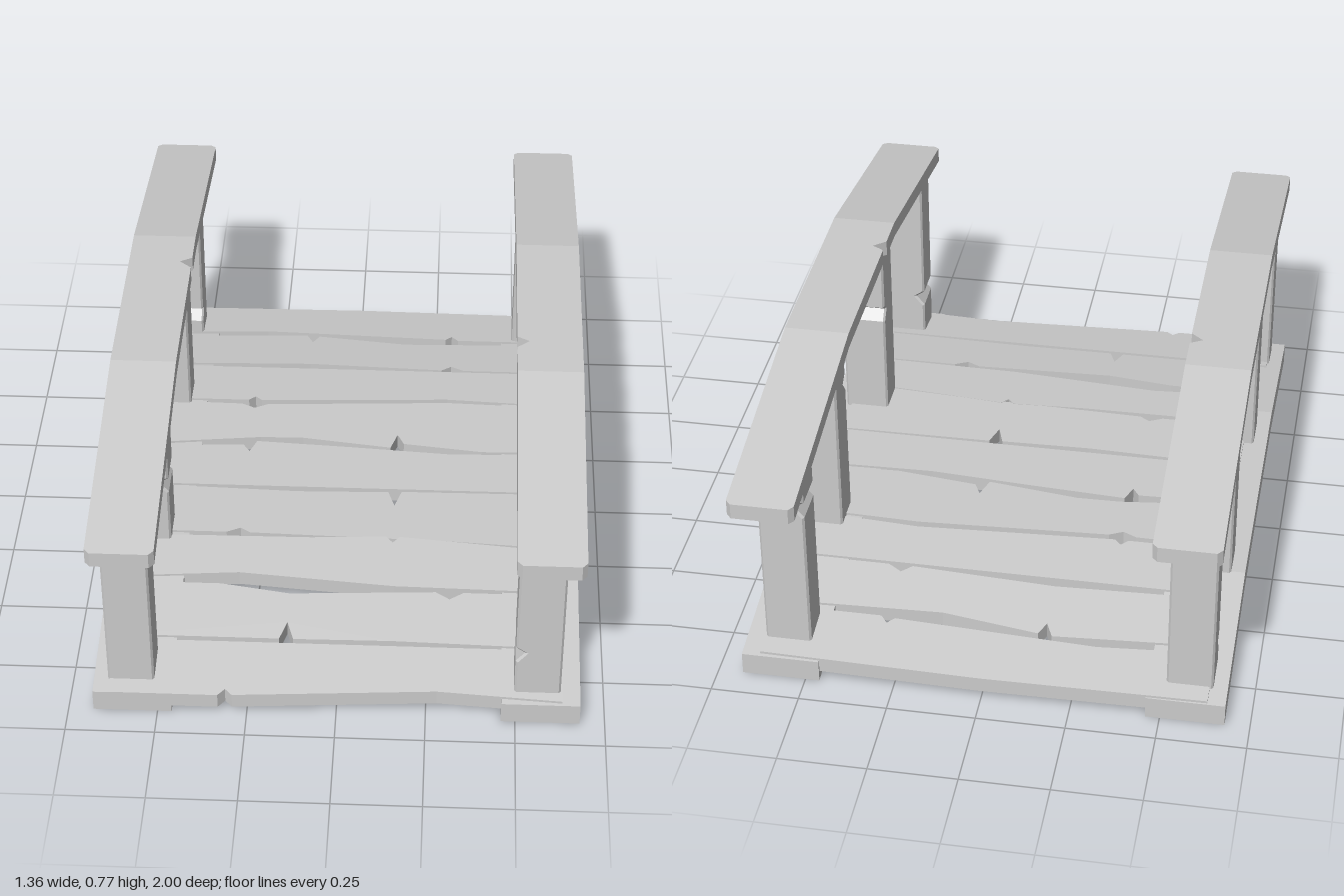
import * as THREE from 'three';

const material = new THREE.MeshStandardMaterial({ color: 0xcccccc, flatShading: true });

// Heights of the walking surface and of the handrail top along the arch
const arch = (flat, crest, end, endHeight) => (z) => {
  const t = Math.max(0, (Math.abs(z) - flat) / (end - flat));
  return crest + (endHeight - crest) * t;
};
const beamTop = arch(0.41, 0.14, 0.915, 0.066);
const railTop = arch(0.31, 0.77, 1, 0.653);

function addMesh(parent, name, geometry) {
  const mesh = new THREE.Mesh(geometry, material);
  mesh.name = name;
  parent.add(mesh);
  return mesh;
}

// Slab from a plan outline of [x, z] points, its top lifted to height(z)
function slab(outline, thickness, height) {
  const shape = new THREE.Shape(outline.map(([x, z]) => new THREE.Vector2(x, -z)));
  const geo = new THREE.ExtrudeGeometry(shape, { depth: thickness, bevelEnabled: false });
  geo.rotateX(-Math.PI / 2);
  const p = geo.attributes.position;
  for (let i = 0; i < p.count; i++) p.setY(i, p.getY(i) - thickness + height(p.getZ(i)));
  geo.computeVertexNormals();
  return geo;
}

// Plank between a back edge and a front edge, tilted as one flat board
function plank(parent, x0, x1, back, front) {
  const widen = (e) => [[x0, e[0][1]], ...e.slice(1, -1), [x1, e[e.length - 1][1]]];
  const b = widen(back), f = widen(front);
  const zb = b[0][1], zf = f[0][1];
  const yb = beamTop(zb) + 0.007, yf = beamTop(zf) + 0.007;
  const tilt = (z) => yb + (yf - yb) * (z - zb) / (zf - zb);
  addMesh(parent, 'plank', slab([...b, ...f.reverse()], 0.045, tilt));
}

// Post with a V-shaped nick across one face; turn swings the nick from +x around y
function post(parent, x, z, turn, nickY) {
  const bevel = 0.006, y0 = beamTop(z) - 0.03, y1 = railTop(z) - 0.025;
  const across = Math.abs(Math.sin(turn)) > 0.5;
  const w = (across ? 0.115 : 0.13) / 2 - bevel;
  const d = (across ? 0.13 : 0.115) - 2 * bevel;
  const pts = [[-w, y0], [w, y0]];
  if (nickY) pts.push([w, nickY - 0.03], [w - 0.028, nickY + 0.005], [w, nickY + 0.025]);
  pts.push([w, y1], [-w, y1]);
  const shape = new THREE.Shape(pts.map(([a, b]) => new THREE.Vector2(a, b)));
  const geo = new THREE.ExtrudeGeometry(shape, {
    depth: d, bevelEnabled: true, bevelSize: bevel, bevelThickness: bevel, bevelSegments: 1,
  });
  geo.translate(0, 0, -d / 2);
  const mesh = addMesh(parent, 'post', geo);
  mesh.rotation.y = turn;
  mesh.position.set(x, 0, z);
}

// Handrail in three straight runs, with a nick in its inner edge
function handrail(parent, cx, side, nickZ) {
  const rail = new THREE.Group();
  rail.name = 'handrail';
  const o = 0.0925, c = 0.014;
  const place = (pts) => addMesh(rail, 'railSection', slab(pts.map(([x, z]) => [cx + x, z]), 0.046, railTop));
  place([[-o, -0.31], [-o, -1 + c], [-o + c, -1], [o - c, -1], [o, -1 + c], [o, -0.31]].reverse());
  place([[-o, 0.31], [-o, 1 - c], [-o + c, 1], [o - c, 1], [o, 1 - c], [o, 0.31]]);
  const inner = -side * o;
  const mid = [[-inner, -0.31], [-inner, 0.31], [inner, 0.31], [inner, nickZ + 0.03],
    [inner + side * 0.035, nickZ], [inner, nickZ - 0.02], [inner, -0.31]];
  place(mid);
  parent.add(rail);
}

export function createModel() {
  const bridge = new THREE.Group();
  bridge.name = 'footbridge';

  // Bent side beams under the deck
  for (const side of [-1, 1]) {
    const beam = new THREE.Group();
    beam.name = 'sideBeam';
    const x0 = side * 0.57 - 0.11, x1 = side * 0.57 + 0.11;
    const cuts = [-0.915, -0.41, 0.41, 0.915];
    for (let i = 0; i < 3; i++) {
      const a = cuts[i], b = cuts[i + 1];
      addMesh(beam, 'beamSection', slab([[x0, a], [x0, b], [x1, b], [x1, a]], 0.066, beamTop));
    }
    bridge.add(beam);
  }

  // Worn deck planks, from back to front
  const deck = new THREE.Group();
  deck.name = 'deck';
  const L = -0.6, R = 0.6;
  plank(deck, -0.63, 0.63,
    [[L, -0.91], [0, -0.917], [R, -0.905]],
    [[L, -0.735], [-0.3, -0.757], [0.28, -0.73], [0.3, -0.75], [0.32, -0.725], [R, -0.725]]);
  plank(deck, -0.61, 0.6,
    [[L, -0.71], [-0.17, -0.735], [-0.15, -0.69], [-0.13, -0.73], [0.15, -0.69], [R, -0.705]],
    [[L, -0.53], [-0.15, -0.546], [0.27, -0.525], [0.3, -0.55], [0.34, -0.525], [R, -0.525]]);
  plank(deck, -0.6, 0.62,
    [[L, -0.515], [R, -0.515]],
    [[L, -0.325], [-0.33, -0.325], [-0.31, -0.345], [-0.29, -0.325], [0.29, -0.355], [R, -0.335]]);
  plank(deck, -0.62, 0.6,
    [[L, -0.31], [-0.35, -0.305], [-0.31, -0.285], [-0.27, -0.305], [0.29, -0.335], [R, -0.325]],
    [[L, -0.1], [-0.28, -0.14], [-0.15, -0.142], [0.12, -0.105], [0.14, -0.168], [0.16, -0.125], [0.4, -0.095], [R, -0.1]]);
  plank(deck, -0.6, 0.61,
    [[L, -0.09], [-0.33, -0.1], [-0.31, -0.07], [-0.29, -0.12], [0, -0.102], [0.3, -0.08], [R, -0.088]],
    [[L, 0.093], [R, 0.093]]);
  plank(deck, -0.61, 0.62,
    [[L, 0.1], [-0.15, 0.115], [0.12, 0.108], [0.14, 0.17], [0.16, 0.105], [R, 0.1]],
    [[L, 0.31], [-0.35, 0.31], [-0.31, 0.29], [-0.28, 0.31], [-0.1, 0.315], [0.3, 0.325], [R, 0.345]]);
  plank(deck, -0.62, 0.6,
    [[L, 0.33], [-0.1, 0.325], [0.12, 0.313], [0.14, 0.337], [0.16, 0.313], [R, 0.353]],
    [[L, 0.5], [-0.3, 0.475], [0.15, 0.513], [R, 0.52]]);
  plank(deck, -0.6, 0.61,
    [[L, 0.52], [-0.35, 0.52], [-0.15, 0.55], [0.27, 0.53], [0.31, 0.555], [0.35, 0.53], [R, 0.53]],
    [[L, 0.715], [-0.17, 0.715], [-0.15, 0.655], [-0.13, 0.715], [0.15, 0.712], [R, 0.722]]);
  plank(deck, -0.635, 0.63,
    [[L, 0.73], [R, 0.73]],
    [[L, 0.92], [-0.33, 0.92], [-0.31, 0.898], [-0.29, 0.918], [0.28, 0.885], [R, 0.907]]);
  bridge.add(deck);

  // Railing posts: x, z, direction of the nick, height of the nick
  const inX = 0, outX = Math.PI, toFront = -Math.PI / 2, toBack = Math.PI / 2;
  const posts = [
    [-0.575, 0.815, toBack, 0.53], [-0.575, 0.29, inX, 0.35],
    [-0.575, -0.36, toFront, 0.57], [-0.575, -0.80, toFront, 0.17],
    [0.56, 0.82, outX, 0.22], [0.57, 0.29, toBack, 0.49],
    [0.575, -0.323, toFront, 0.58], [0.56, -0.79, outX, 0.54],
  ];
  for (const p of posts) post(bridge, ...p);

  // Arched handrails
  handrail(bridge, -0.567, -1, -0.18);
  handrail(bridge, 0.575, 1, 0.17);
  return bridge;
}
